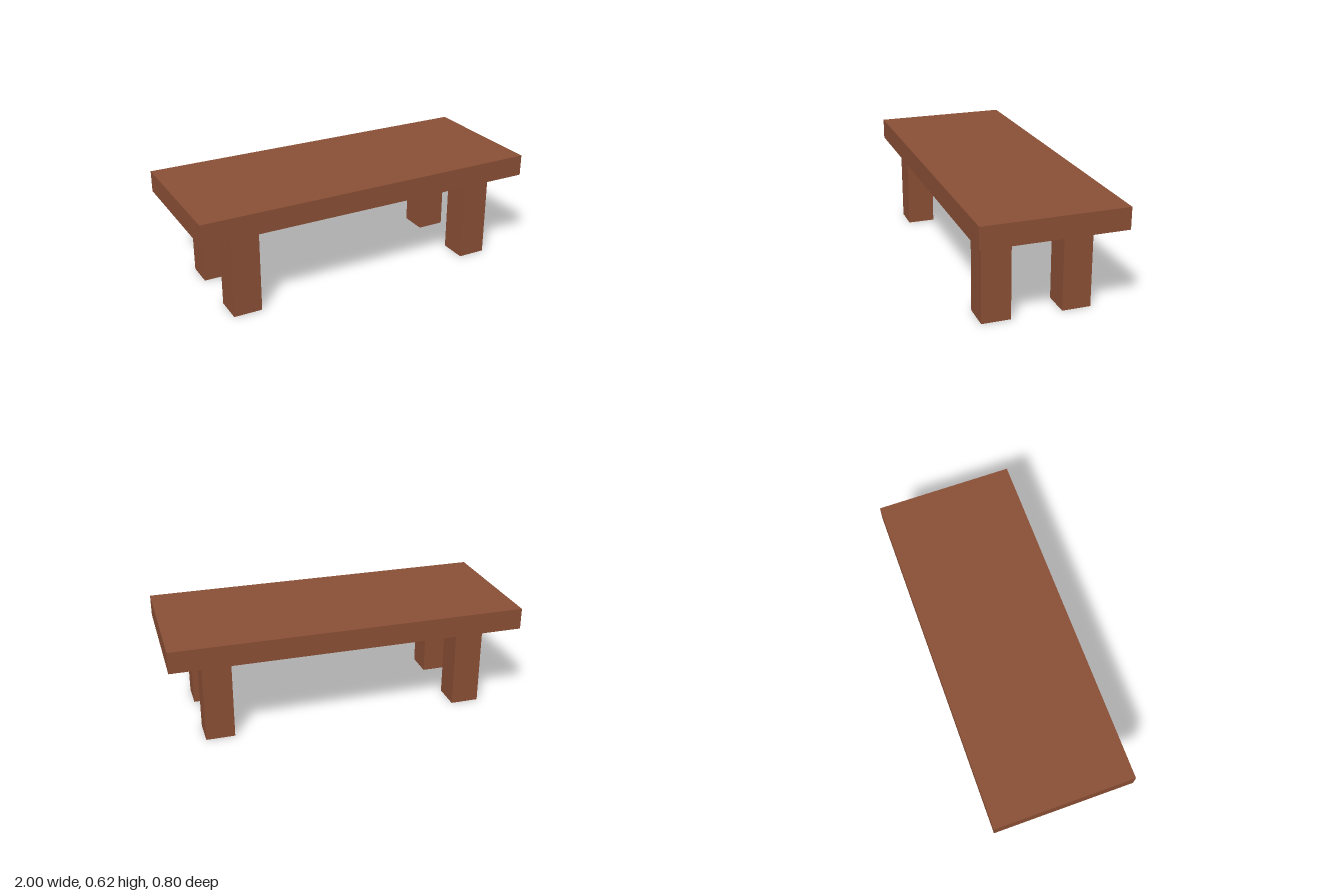
import * as THREE from 'three';

export function createModel() {
  const model = new THREE.Group();
  model.name = 'bench';

  const wood = new THREE.MeshStandardMaterial({ color: 0x8a4f35 });
  wood.name = 'brown wood';

  // Box placed by its bottom centre
  const addBox = (name, [w, h, d], [x, y, z]) => {
    const mesh = new THREE.Mesh(new THREE.BoxGeometry(w, h, d), wood);
    mesh.name = name;
    mesh.position.set(x, y + h / 2, z);
    model.add(mesh);
  };

  // Slab top, resting a hair above the legs
  addBox('benchTop', [2, 0.122, 0.797], [0, 0.495, 0]);

  // Four square legs, set slightly towards the front
  for (const [side, x] of [['Left', 0.735], ['Right', -0.739]]) {
    for (const [end, z] of [['front', 0.247], ['back', -0.203]]) {
      addBox(`${end}${side}Leg`, [0.163, 0.49, 0.163], [x, 0, z]);
    }
  }

  return model;
}
